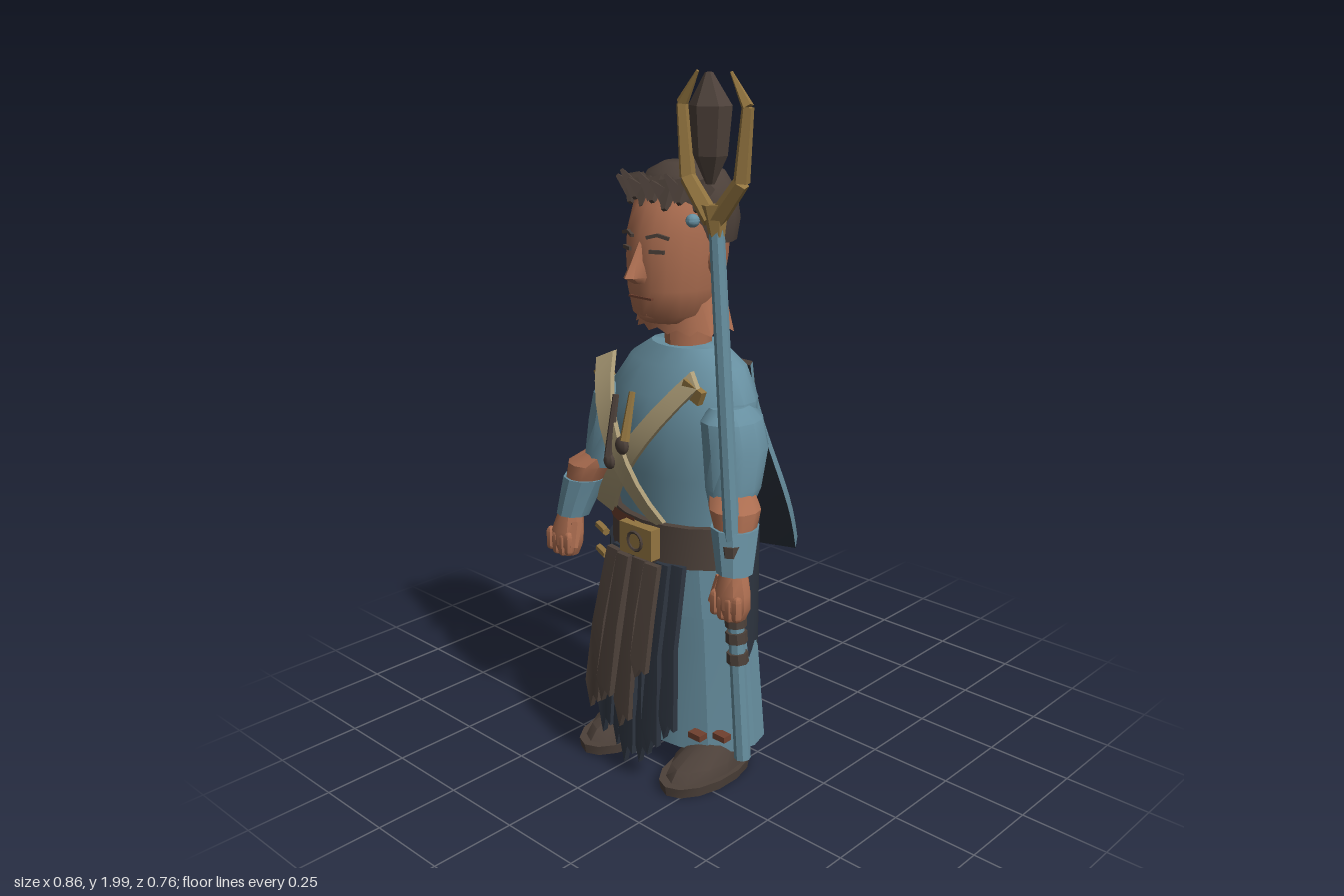
import * as THREE from 'three';
import { toCreasedNormals } from 'three/addons/utils/BufferGeometryUtils.js';
import { ParametricGeometry } from 'three/addons/geometries/ParametricGeometry.js';

const mat = (name, color, side = THREE.FrontSide) => new THREE.MeshStandardMaterial({ name, color, side });
const M = {
  blue: mat('blue cloth', 0x678fa0, THREE.DoubleSide),
  skin: mat('skin', 0xab6d50, THREE.DoubleSide),
  brown: mat('dark brown', 0x4d413a, THREE.DoubleSide),
  navy: mat('navy cloth', 0x2d343f, THREE.DoubleSide),
  gold: mat('gold', 0x937540),
  cream: mat('cream leather', 0xab9b76),
  red: mat('red leather', 0x70402f, THREE.DoubleSide),
};
const CX = 0.045; // body axis
const V = (x, y, z) => new THREE.Vector3(x, y, z);

export function createModel() {
  const root = new THREE.Group();
  root.name = 'staffBearer';

  const add = (name, geo, material, parent = root, crease = 0.6) => {
    const mesh = new THREE.Mesh(toCreasedNormals(geo, crease), material);
    mesh.name = name;
    parent.add(mesh);
  };
  const group = (name) => {
    const g = new THREE.Group();
    g.name = name;
    root.add(g);
    return g;
  };
  // Closed skin over elliptical rings [y, centre x, centre z, radius x, radius z]
  const loft = (rows, n = 16) => {
    const pos = [], idx = [];
    for (const [y, cx, cz, rx, rz] of rows)
      for (let i = 0; i < n; i++) {
        const a = (i / n) * Math.PI * 2;
        pos.push(cx + rx * Math.sin(a), y, cz + rz * Math.cos(a));
      }
    const last = rows.length - 1, b = rows.length * n;
    for (const r of [rows[0], rows[last]]) pos.push(r[1], r[0], r[2]);
    for (let i = 0; i < n; i++) {
      const j = (i + 1) % n;
      for (let k = 0; k < last; k++) {
        const p = k * n, q = p + n;
        idx.push(p + i, p + j, q + j, p + i, q + j, q + i);
      }
      idx.push(b, j, i, b + 1, last * n + i, last * n + j);
    }
    const g = new THREE.BufferGeometry();
    g.setAttribute('position', new THREE.Float32BufferAttribute(pos, 3));
    g.setIndex(idx);
    return g;
  };
  // Tapered rod between two points
  const rod = (a, b, r1, r2, n = 6) => {
    const d = b.clone().sub(a);
    const g = new THREE.CylinderGeometry(r2, r1, d.length(), n);
    g.applyQuaternion(new THREE.Quaternion().setFromUnitVectors(V(0, 1, 0), d.normalize()));
    return g.translate((a.x + b.x) / 2, (a.y + b.y) / 2, (a.z + b.z) / 2);
  };
  const box = (w, h, d, x, y, z, tilt = 0) => new THREE.BoxGeometry(w, h, d).rotateZ(tilt).translate(x, y, z);
  const ball = (x, y, z, rx, ry, rz) => new THREE.SphereGeometry(1, 10, 8).scale(rx, ry, rz).translate(x, y, z);
  const bendZ = (geo, f) => {
    const p = geo.attributes.position;
    for (let i = 0; i < p.count; i++) p.setZ(i, p.getZ(i) + f(p.getY(i), p.getX(i)));
    return geo;
  };
  const sheet = (f, nu, nv) => new ParametricGeometry((u, v, t) => t.copy(f(u, v)), nu, nv);

  // Robe and torso
  add('torso', loft([[0.75, CX, 0.11, 0.21, 0.14], [0.9, CX, 0.115, 0.222, 0.145], [1.02, CX, 0.115, 0.245, 0.15],
    [1.12, CX, 0.1, 0.247, 0.138], [1.2, CX, 0.085, 0.195, 0.115], [1.25, CX, 0.085, 0.115, 0.085]], 18), M.blue);
  add('skirt', loft([[0.08, 0.055, 0.08, 0.25, 0.17], [0.4, 0.05, 0.09, 0.235, 0.155],
    [0.66, CX, 0.105, 0.228, 0.14], [0.77, CX, 0.105, 0.215, 0.13]], 16), M.blue, root, 0.3);
  add('skirtTier', loft([[0.5, 0.047, 0.1, 0.242, 0.158], [0.66, CX, 0.11, 0.228, 0.148]], 16), M.blue, root, 0.3);
  add('belt', loft([[0.65, CX, 0.12, 0.232, 0.155], [0.77, CX, 0.12, 0.226, 0.153]], 18), M.brown);
  add('beltTrim', sheet((u, v) => {
    const a = -1.3 + 1.2 * u;
    return V(CX + 0.233 * Math.sin(a), 0.77 - 0.035 * v, 0.12 + 0.16 * Math.cos(a));
  }, 8, 1), M.red);
  add('buckle', box(0.125, 0.09, 0.035, 0.047, 0.715, 0.285), M.gold);
  add('buckleInset', new THREE.TorusGeometry(0.027, 0.005, 5, 12).translate(0.047, 0.715, 0.304), M.brown);

  // Ragged hip cloths wrapped round the sides
  const hipCloth = (a0, a1, top, low) => sheet((u, v) => {
    const a = a0 + (a1 - a0) * u;
    const hem = low + 0.05 * Math.abs(Math.sin(u * 9)) + 0.18 * Math.max(0, 1 - 3 * u);
    return V(0.048 + 0.25 * Math.sin(a), top + (hem - top) * v, 0.11 + 0.172 * Math.cos(a));
  }, 12, 4);
  add('leftHipCloth', hipCloth(1.25, 2.35, 0.77, 0.36), M.navy);
  add('rightHipCloth', hipCloth(-1.25, -0.75, 0.66, 0.38), M.navy);

  // Ragged front apron: navy layer behind, brown layer in front
  const apron = group('apron');
  const strip = (x, w, top, low, z, lean) => {
    const s = new THREE.Shape(), h = top - low, m = top - h * 0.45;
    s.moveTo(x - w * 0.42, top);
    s.lineTo(x - w * 0.5 + lean * 0.4, m);
    s.lineTo(x - w * 0.5 + lean, low + h * 0.16);
    s.lineTo(x - w * 0.1 + lean, low);
    s.lineTo(x + w * 0.15 + lean, low + h * 0.09);
    s.lineTo(x + w * 0.5 + lean, low + h * 0.06);
    s.lineTo(x + w * 0.5 + lean * 0.4, m);
    s.lineTo(x + w * 0.42, top);
    const g = new THREE.ExtrudeGeometry(s, { depth: 0.018, bevelEnabled: false });
    return bendZ(g, (y, px) => z + 0.075 * Math.sin(Math.min(1, (0.66 - y) / 0.45) * 1.57) - 0.5 * (px - CX) ** 2);
  };
  for (let i = 0; i < 7; i++)
    add('navyStrip', strip(-0.065 + i * 0.038, 0.056, 0.66, [0.2, 0.1, 0.07, 0.04, 0.05, 0.1, 0.16][i],
      0.25 + (i % 2) * 0.014, (i - 3) * 0.008), M.navy, apron);
  for (let i = 0; i < 4; i++)
    add('brownStrip', strip(-0.06 + i * 0.056, 0.058, 0.66, [0.17, 0.22, 0.16, 0.34][i],
      0.278 + (i % 2) * 0.01, (i - 2.5) * 0.01), M.brown, apron);

  // Crossed chest straps
  const strap = (x1, y1, x2, y2, off) => {
    const dx = x2 - x1, dy = y2 - y1;
    const g = new THREE.BoxGeometry(0.056, Math.hypot(dx, dy), 0.015, 1, 8, 1);
    g.rotateZ(Math.atan2(-dx, dy)).translate((x1 + x2) / 2, (y1 + y2) / 2, 0);
    return bendZ(g, (y) => 0.315 + off - 1.5 * (y - 0.98) ** 2);
  };
  const straps = group('chestStraps');
  add('strap', strap(-0.115, 1.215, 0.105, 0.77, 0.014), M.cream, straps);
  add('strap', strap(0.22, 1.2, -0.13, 0.76, 0), M.cream, straps);
  add('strapTab', box(0.06, 0.035, 0.02, -0.12, 1.16, 0.25, 0.5), M.gold, straps);
  add('strapTab', box(0.07, 0.04, 0.02, 0.22, 1.17, 0.25, -0.4), M.gold, straps);
  add('charm', rod(V(-0.015, 0.96, 0.34), V(-0.012, 1.13, 0.31), 0.012, 0.009), M.brown, straps);
  add('charm', rod(V(0.055, 1.02, 0.345), V(0.052, 1.15, 0.31), 0.014, 0.009), M.gold, straps);
  add('charmBead', ball(-0.015, 0.945, 0.335, 0.02, 0.024, 0.014), M.brown, straps);
  add('charmBead', ball(0.045, 1.005, 0.345, 0.023, 0.026, 0.014), M.brown, straps);

  // Cape: sagging sheet, brown outside, navy lining, blue rim on the sides and hem
  const cape = group('cape');
  const hem = [[-0.4, 0.65, -0.385], [-0.26, 0.61, -0.27], [-0.165, 0.58, -0.315], [-0.09, 0.56, -0.255],
    [0.0, 0.55, -0.31], [0.088, 0.54, -0.37]].map((p) => V(...p));
  const outer = (u, v) => {
    const s = Math.min(u * 5, 4.9999), k = Math.floor(s);
    const b = hem[k].clone().lerp(hem[k + 1], s - k);
    const q = v ** 1.55;
    const bulge = 0.04 * u * u * Math.sin(Math.PI * q);
    return V((-0.18 + 0.33 * u) * (1 - q) + b.x * q + bulge, 1.18 + (b.y - 1.18) * v, -0.07 * (1 - q) + b.z * q);
  };
  const inner = (u, v) => outer(u, v).add(V(-0.032 + 0.04 * u, -0.008 - 0.024 * v, 0.018));
  add('capeOutside', sheet(outer, 10, 8), M.brown, cape, 0.2);
  add('capeLining', sheet(inner, 10, 8), M.navy, cape, 0.2);
  const rim = (edge) => sheet((t, w) => outer(...edge(t)).lerp(inner(...edge(t)), w), 10, 1);
  add('capeTop', rim((t) => [t, 0]), M.brown, cape, 0.2);
  for (const edge of [(t) => [t, 1], (t) => [0, t], (t) => [1, t]]) add('capeRim', rim(edge), M.blue, cape, 0.2);

  // Arms and feet, mirrored about the body axis
  for (const s of [1, -1]) {
    const side = s > 0 ? 'left' : 'right';
    const arm = group(side + 'Arm');
    const limb = (rows, n) => loft(rows.map(([y, d, z, rx, rz]) => [y, CX + s * d, z, rx, rz]), n);
    add('sleeve', limb([[0.86, 0.245, 0.175, 0.062, 0.065], [0.9, 0.238, 0.16, 0.076, 0.08],
      [1, 0.225, 0.135, 0.083, 0.1], [1.08, 0.21, 0.135, 0.078, 0.095], [1.115, 0.2, 0.135, 0.05, 0.065]], 12), M.blue, arm);
    add('forearm', limb([[0.68, 0.325, 0.25, 0.036, 0.036], [0.77, 0.304, 0.226, 0.045, 0.045],
      [0.82, 0.292, 0.212, 0.062, 0.06], [0.86, 0.28, 0.2, 0.073, 0.07], [0.9, 0.24, 0.17, 0.06, 0.06]], 12), M.skin, arm);
    add('cuff', limb([[0.7, 0.32, 0.243, 0.052, 0.05], [0.75, 0.309, 0.23, 0.058, 0.058],
      [0.815, 0.294, 0.214, 0.068, 0.066]], 10), M.blue, arm);
    add('palm', limb([[0.575, 0.33, 0.26, 0.036, 0.032], [0.61, 0.33, 0.262, 0.054, 0.043],
      [0.65, 0.328, 0.26, 0.055, 0.043], [0.7, 0.324, 0.252, 0.04, 0.038]], 10), M.skin, arm);
    for (let i = 0; i < 4; i++)
      add('finger', new THREE.CapsuleGeometry(0.0145, 0.045, 3, 6)
        .translate(CX + s * (0.292 + i * 0.026), 0.608 + Math.abs(i - 1.5) * 0.007, 0.29), M.skin, arm);
    add('thumb', rod(V(CX + s * 0.29, 0.68, 0.26), V(CX + s * 0.276, 0.61, 0.285), 0.018, 0.012), M.skin, arm);

    const foot = group(side + 'Foot');
    add('sole', limb([[0, 0.168, 0.19, 0.09, 0.165], [0.03, 0.168, 0.19, 0.095, 0.17]], 14), M.brown, foot);
    add('shoe', limb([[0.03, 0.168, 0.185, 0.082, 0.15], [0.06, 0.167, 0.18, 0.078, 0.13],
      [0.1, 0.16, 0.13, 0.06, 0.08], [0.14, 0.155, 0.11, 0.05, 0.06]], 12), M.brown, foot);
    for (const [d, z] of [[0.17, 0.228], [0.225, 0.185]])
      add('hemLace', box(0.045, 0.018, 0.03, CX + s * d, 0.14, z), M.red, foot);
    add('ear', ball(CX + s * 0.135, 1.495, 0.115, 0.018, 0.045, 0.03), M.skin);
  }

  // Hip pouches and small tools
  add('pouch', ball(-0.155, 0.62, 0, 0.058, 0.1, 0.06), M.red);
  add('pouchFlap', ball(-0.155, 0.68, 0, 0.062, 0.045, 0.064), M.red);
  add('backPouch', ball(-0.055, 0.65, -0.03, 0.05, 0.07, 0.03), M.brown);
  for (const y of [0.66, 0.585])
    add('toolHandle', rod(V(-0.225, y, 0.19), V(-0.17, y - 0.005, 0.21), 0.012, 0.012), M.gold);

  // Head
  const head = group('head');
  add('neck', loft([[1.2, CX, 0.08, 0.06, 0.07], [1.38, CX, 0.085, 0.065, 0.08]], 12), M.skin, head);
  add('face', loft([[1.325, CX, 0.13, 0.08, 0.1], [1.35, CX, 0.13, 0.107, 0.13], [1.42, CX, 0.13, 0.122, 0.142],
    [1.5, CX, 0.123, 0.13, 0.15], [1.57, CX, 0.118, 0.131, 0.15], [1.64, CX, 0.108, 0.125, 0.135],
    [1.7, CX, 0.1, 0.09, 0.1]], 20), M.skin, head, 0.9);
  add('raggedNeckSkin', sheet((u, v) => {
    const a = u * Math.PI * 2, jag = Math.round(u * 28) % 2;
    return V(CX + (0.114 + v * (0.028 + jag * 0.018)) * Math.sin(a), 1.4 - v * (0.092 + 0.014 * jag),
      0.1 + (0.11 - v * 0.005) * Math.cos(a));
  }, 28, 1), M.skin, head);
  add('nose', loft([[1.44, CX, 0.27, 0.018, 0.02], [1.458, CX, 0.275, 0.027, 0.05],
    [1.5, CX, 0.265, 0.014, 0.034], [1.55, CX, 0.25, 0.01, 0.02]], 8), M.skin, head, 1);
  add('mouth', box(0.085, 0.006, 0.008, CX, 1.4, 0.266), M.red, head);
  add('chin', ball(CX, 1.355, 0.23, 0.045, 0.028, 0.03), M.skin, head);
  for (const s of [1, -1]) {
    const x = CX + s * 0.055;
    add('eye', box(0.042, 0.01, 0.008, 0, 0, 0).rotateY(s * 0.4).translate(x, 1.527, 0.26), M.brown, head);
    for (const t of [1, -1])
      add('eyebrow', box(0.034, 0.009, 0.009, t * 0.015, 0, 0, -t * 0.25).rotateY(s * 0.4).translate(x, 1.567, 0.257), M.brown, head);
  }

  // Hair cap and a fringe of swept locks
  const hair = group('hair');
  add('hairCap', loft([[1.54, CX, 0.083, 0.143, 0.12], [1.6, CX, 0.085, 0.155, 0.13], [1.67, CX, 0.088, 0.145, 0.125],
    [1.72, CX, 0.09, 0.11, 0.1], [1.745, CX, 0.09, 0.06, 0.06]], 18), M.brown, hair, 0.7);
  for (let i = 0; i < 7; i++) {
    const x = -0.08 + i * 0.041, z = 0.222 - 2.6 * (x - CX) ** 2;
    add('lock', rod(V(x, 1.695, z - 0.025), V(x + 0.022, 1.635 + (i % 2) * 0.018, z + 0.02), 0.036, 0.008, 4), M.brown, hair);
    add('lock', rod(V(x, 1.665, z - 0.01), V(x - 0.025, 1.705 + (i % 2) * 0.02, z + 0.022), 0.03, 0.006, 4), M.brown, hair);
  }
  add('hairBead', ball(0.172, 1.61, 0.2, 0.018, 0.018, 0.02), M.blue, hair);

  // Staff with forked head and dark crystal
  const staff = group('staff');
  const low = V(0.41, 0.16, 0.255), high = V(0.305, 1.62, 0.255);
  const at = (y) => low.clone().lerp(high, (y - 0.16) / 1.46);
  add('shaft', rod(low, high, 0.023, 0.02, 8), M.blue, staff);
  for (const y of [0.46, 0.52, 0.565, 0.715, 0.765])
    add('gripRing', rod(at(y - 0.015), at(y + 0.015), 0.03, 0.03, 8), M.brown, staff);
  add('forkBase', rod(at(1.59), V(0.3, 1.67, 0.255), 0.02, 0.035, 6), M.gold, staff);
  for (const s of [1, -1]) {
    const pts = [[0.008, 1.63], [0.09, 1.73], [0.108, 1.91], [0.055, 1.99]].map(([d, y]) => V(0.296 + s * d, y, 0.255));
    const r = [0.026, 0.022, 0.016, 0.004];
    for (let i = 0; i < 3; i++) add('prong', rod(pts[i], pts[i + 1], r[i], r[i + 1], 5), M.gold, staff);
  }
  add('crystal', loft([[1.72, 0.29, 0.262, 0.012, 0.01], [1.79, 0.29, 0.262, 0.045, 0.042],
    [1.91, 0.29, 0.262, 0.058, 0.05], [1.988, 0.285, 0.262, 0.01, 0.01]], 6), M.brown, staff, 0.1);
  return root;
}
